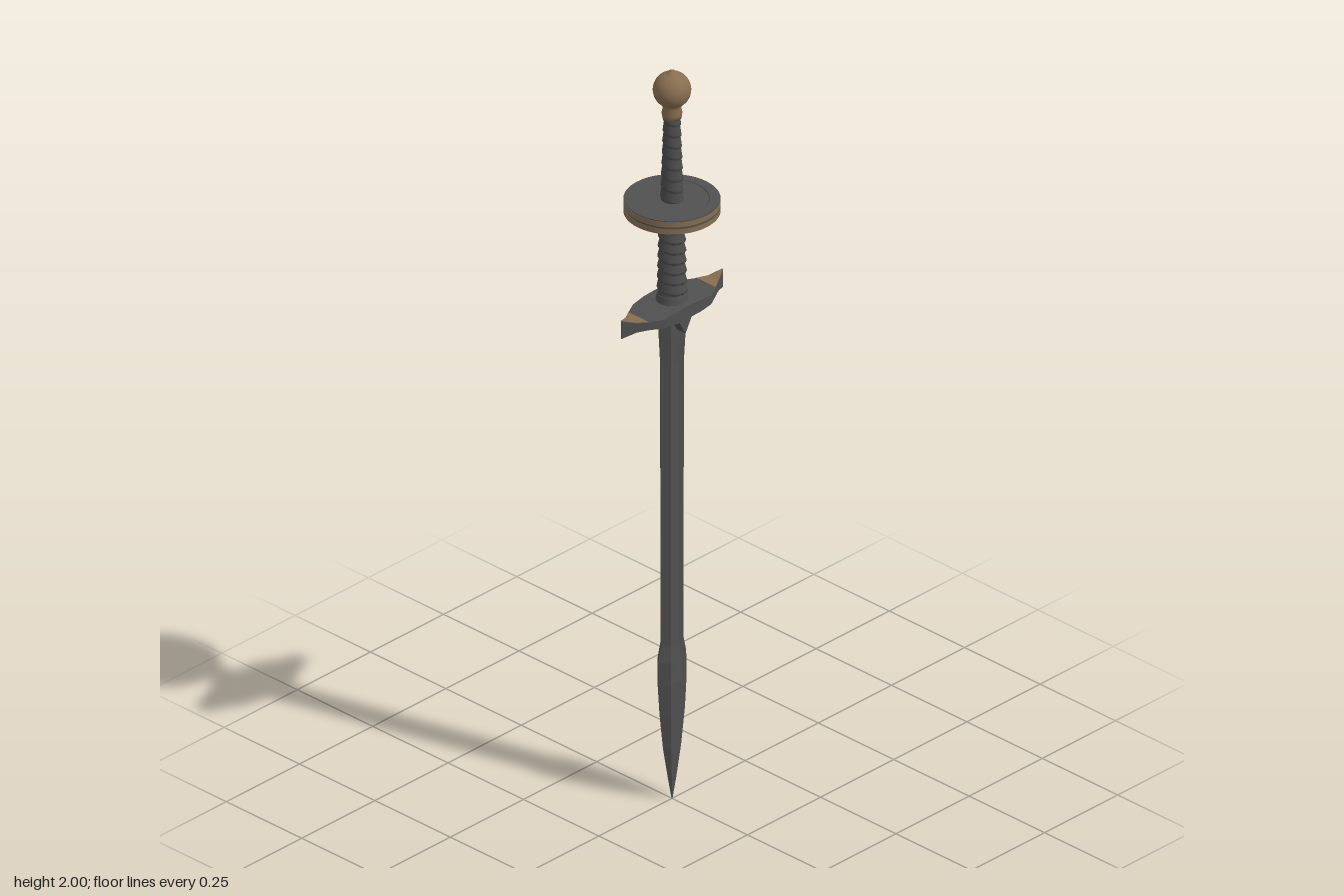
import * as THREE from 'three';

const iron = new THREE.MeshStandardMaterial({ color: 0x505050 });
iron.name = 'dark iron';
const leather = new THREE.MeshStandardMaterial({ color: 0x4c4c4c });
leather.name = 'grey leather';
const bronze = new THREE.MeshStandardMaterial({ color: 0x876e50 });
bronze.name = 'aged bronze';

// Faceted solid through closed rings (counter-clockwise seen from the last ring)
function loft(rings) {
  const n = rings[0].length, pos = rings.flat(2), idx = [];
  for (let i = 0; i < rings.length - 1; i++) {
    for (let j = 0; j < n; j++) {
      const a = i * n + j, b = i * n + (j + 1) % n;
      idx.push(a, b, b + n, a, b + n, a + n);
    }
  }
  const last = (rings.length - 1) * n;
  for (let j = 1; j < n - 1; j++) {
    idx.push(0, j + 1, j, last, last + j, last + j + 1);
  }
  const g = new THREE.BufferGeometry();
  g.setAttribute('position', new THREE.Float32BufferAttribute(pos, 3));
  g.setIndex(idx);
  const flat = g.toNonIndexed();
  flat.computeVertexNormals();
  return flat;
}

// Tapered grip with overlapping strips wound around it
function wrappedGrip(y0, y1, r0, r1, turns, depth) {
  const h = y1 - y0;
  const g = new THREE.CylinderGeometry(1, 1, h, 32, 90, true);
  const p = g.attributes.position;
  for (let i = 0; i < p.count; i++) {
    const t = p.getY(i) / h + 0.5;
    const a = Math.atan2(p.getX(i), p.getZ(i));
    const phase = t * turns + a / (2 * Math.PI) + 10;
    const r = r0 + (r1 - r0) * t - depth * (phase % 1);
    p.setX(i, p.getX(i) * r);
    p.setZ(i, p.getZ(i) * r);
  }
  g.translate(0, (y0 + y1) / 2, 0);
  g.computeVertexNormals();
  return g;
}

export function createModel() {
  const model = new THREE.Group();
  model.name = 'sword';
  const add = (name, geometry, material) => {
    const m = new THREE.Mesh(geometry, material);
    m.name = name;
    model.add(m);
    return m;
  };

  // Blade: leaf-shaped point, slim middle, broad base; y, half width, half thickness
  const blade = [
    [0, 0.001, 0.001], [0.06, 0.014, 0.007], [0.15, 0.031, 0.014], [0.25, 0.043, 0.02],
    [0.33, 0.049, 0.022], [0.39, 0.048, 0.022], [0.43, 0.039, 0.018], [0.8, 0.039, 0.018],
    [1.2, 0.04, 0.018], [1.28, 0.045, 0.021], [1.36, 0.045, 0.022],
  ];
  add('blade', loft(blade.map(([y, w, t]) => {
    const f = y > 0.38 ? 0.78 : 1; // fuller above the point
    return [
      [w, y, 0], [w * 0.55, y, -t], [w * 0.25, y, -t * f], [-w * 0.25, y, -t * f], [-w * 0.55, y, -t],
      [-w, y, 0], [-w * 0.55, y, t], [-w * 0.25, y, t * f], [w * 0.25, y, t * f], [w * 0.55, y, t],
    ];
  })), iron);

  // Crossguard: diamond in plan with flared tips; x, half depth, bottom, top
  const half = [
    [0, 0.055, 1.342, 1.376], [0.04, 0.055, 1.342, 1.374], [0.08, 0.052, 1.345, 1.369],
    [0.115, 0.034, 1.347, 1.368], [0.14, 0.019, 1.345, 1.37], [0.173, 0.001, 1.334, 1.382],
  ];
  const section = ([x, z, lo, hi]) => [[x, lo, -z], [x, hi, -z], [x, hi, z], [x, lo, z]];
  const mirrored = half.slice(1).reverse().map(([x, ...rest]) => [-x, ...rest]);
  add('crossguard', loft([...mirrored, ...half].map(section)), iron);

  // Bronze plates on top of both guard tips
  const plate = half.slice(3).map(([x, z, , hi]) => [x, z * 0.93, hi - 0.001, hi + 0.002]);
  for (const s of [-1, 1]) {
    const rows = plate.map(([x, ...rest]) => [s * x, ...rest]);
    if (s < 0) rows.reverse();
    add('guardTipPlate', loft(rows.map(section)), bronze);
  }

  // Pointed langet below the guard, standing proud of both blade faces
  const v = new THREE.Shape();
  v.moveTo(-0.036, 1.375);
  v.lineTo(-0.03, 1.35);
  v.lineTo(0, 1.295);
  v.lineTo(0.03, 1.35);
  v.lineTo(0.036, 1.375);
  const langet = new THREE.ExtrudeGeometry(v, { depth: 0.09, bevelEnabled: false });
  langet.translate(0, 0, -0.045);
  add('langet', langet, iron);

  // Two wrapped grips, with a collar at the guard
  const collar = new THREE.CylinderGeometry(0.036, 0.04, 0.02, 24);
  add('collar', collar.translate(0, 1.382, 0), iron);
  add('lowerGrip', wrappedGrip(1.37, 1.62, 0.038, 0.032, 9, 0.006), leather);
  add('upperGrip', wrappedGrip(1.645, 1.885, 0.029, 0.021, 8, 0.003), leather);

  // Round hand guard: iron disc with a sunken top and two bronze rim bands
  const lathe = (points, segments = 48) =>
    new THREE.LatheGeometry(points.map(([r, y]) => new THREE.Vector2(r, y)), segments);
  const edges = [[0, 1.614], [0.113, 1.614], [0.113, 1.65], [0.09, 1.65], [0.086, 1.645], [0, 1.645]];
  const discPoints = edges.flatMap((p, i) => (i > 0 && i < edges.length - 1 ? [p, p] : [p]));
  const disc = lathe(discPoints).toNonIndexed();
  // Split normals ring by ring so that the disc edges stay sharp
  for (let i = 0; i < disc.attributes.position.count; i += 3) {
    const p = [0, 1, 2].map((k) => new THREE.Vector3().fromBufferAttribute(disc.attributes.position, i + k));
    const n = new THREE.Triangle(...p).getNormal(new THREE.Vector3());
    for (let k = 0; k < 3; k++) disc.attributes.normal.setXYZ(i + k, n.x, n.y, n.z);
  }
  add('handGuardDisc', disc, iron);
  for (const [lo, hi] of [[1.616, 1.629], [1.635, 1.648]]) {
    const band = new THREE.CylinderGeometry(0.116, 0.116, hi - lo, 48);
    add('rimBand', band.translate(0, (lo + hi) / 2, 0), [bronze, iron, iron]);
  }

  // Pommel: neck, ball and small top button
  const pommel = [[0.001, 1.87], [0.023, 1.872], [0.025, 1.885], [0.022, 1.9], [0.024, 1.912]];
  for (let i = 0; i <= 14; i++) {
    const a = -0.9 + (i / 14) * 2.25;
    pommel.push([0.046 * Math.cos(a), 1.948 + 0.046 * Math.sin(a)]);
  }
  pommel.push([0.008, 1.998], [0, 2]);
  add('pommel', lathe(pommel, 32), bronze);

  return model;
}
